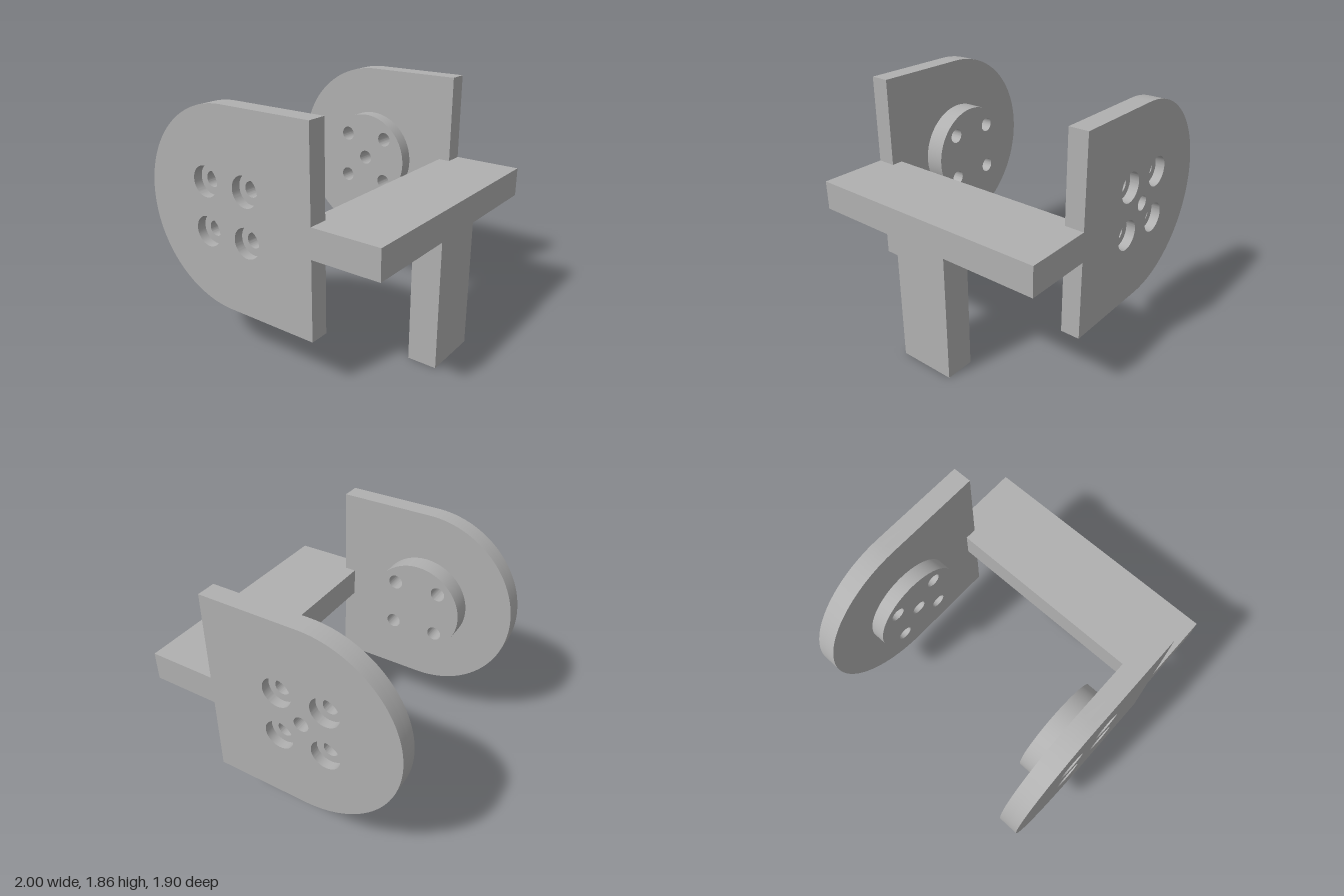
import * as THREE from 'three';
import { toCreasedNormals } from 'three/addons/utils/BufferGeometryUtils.js';

const CX = -0.26, CY = 1.117;   // common axis of plates and bosses
const R = 0.74, BOSS_R = 0.37;
const EDGE = 0.48;              // straight edge of the plates
const OUT = 0.95, STEP = 0.88, IN = 0.805; // plate outer face, counterbore floor, inner face
const BOLT = 0.183;             // bolt offset from the axis

const grey = new THREE.MeshStandardMaterial({ color: 0xb0b0b0 });
grey.name = 'grey';

function addMesh(parent, name, geometry) {
  const mesh = new THREE.Mesh(geometry, grey);
  mesh.name = name;
  parent.add(mesh);
  return mesh;
}

function circleHole(x, y, r) {
  const path = new THREE.Path();
  path.absarc(x, y, r, 0, Math.PI * 2, true);
  return path;
}

// Four bolt holes, plus an optional hole on the axis
function holes(boltRadius, centreHole) {
  const list = [];
  for (const sx of [-1, 1])
    for (const sy of [-1, 1]) list.push(circleHole(CX + sx * BOLT, CY + sy * BOLT, boltRadius));
  if (centreHole) list.push(circleHole(CX, CY, 0.057));
  return list;
}

// Plate outline: half circle on the left, square on the right
function plateShape() {
  const s = new THREE.Shape();
  s.moveTo(EDGE, CY - R);
  s.lineTo(EDGE, CY + R);
  s.lineTo(CX, CY + R);
  s.absarc(CX, CY, R, Math.PI / 2, Math.PI * 1.5, false);
  s.closePath();
  return s;
}

function discShape() {
  const s = new THREE.Shape();
  s.absarc(CX, CY, BOSS_R, 0, Math.PI * 2, false);
  return s;
}

// Extrude a holed shape between two z positions
function slab(shape, holeList, zA, zB) {
  shape.holes = holeList;
  const z0 = Math.min(zA, zB);
  const g = new THREE.ExtrudeGeometry(shape, {
    depth: Math.abs(zB - zA), bevelEnabled: false, curveSegments: 40,
  });
  g.translate(0, 0, z0);
  return toCreasedNormals(g, 0.6);
}

// Side plate with counterbored holes and a boss on its inner face
function sidePlate(name, side, bossEnd, centreHole) {
  const g = new THREE.Group();
  g.name = name;
  addMesh(g, 'counterboredLayer', slab(plateShape(), holes(0.113, centreHole), side * STEP, side * OUT));
  addMesh(g, 'innerLayer', slab(plateShape(), holes(0.057, centreHole), side * IN, side * STEP));
  addMesh(g, 'boss', slab(discShape(), holes(0.057, centreHole), side * bossEnd, side * IN));
  return g;
}

export function createModel() {
  const model = new THREE.Group();
  model.name = 'bracket';

  model.add(sidePlate('frontPlate', 1, 0.655, false));
  model.add(sidePlate('backPlate', -1, 0.695, true));

  // Crossbar, notched at both ends to meet the plates
  const plan = new THREE.Shape([
    [1, -OUT], [1, OUT], [EDGE, OUT], [EDGE, IN],
    [0.39, IN], [0.39, -IN], [EDGE, -IN], [EDGE, -OUT],
  ].map(([x, z]) => new THREE.Vector2(x, z)));
  const bar = new THREE.ExtrudeGeometry(plan, { depth: 0.22, bevelEnabled: false });
  bar.rotateX(-Math.PI / 2);
  bar.translate(0, 0.97, 0);
  addMesh(model, 'crossbar', bar);

  // Leg under the crossbar
  addMesh(model, 'leg', new THREE.BoxGeometry(0.223, 0.97, 0.444)).position.set(0.8885, 0.485, 0);

  return model;
}
